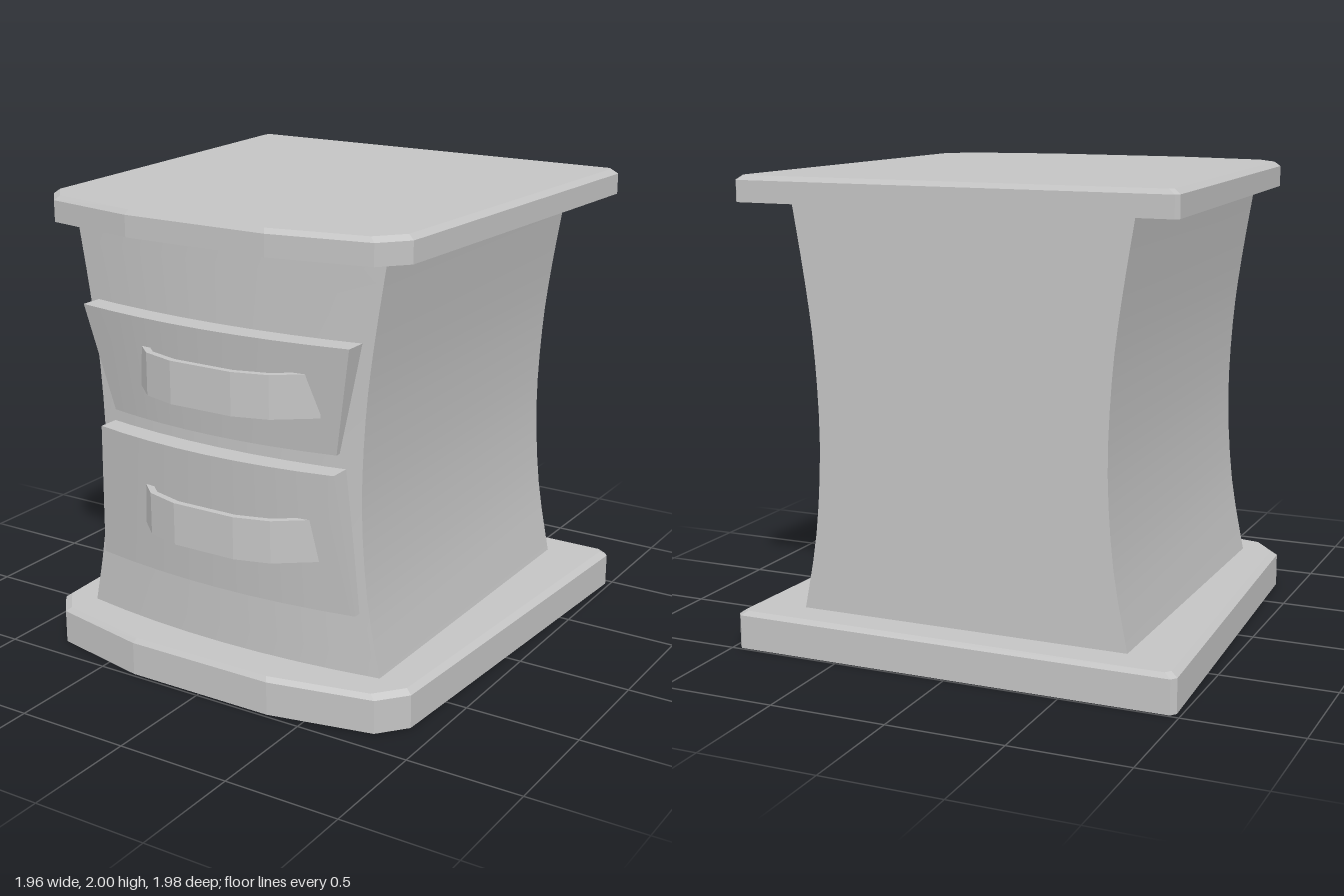
import * as THREE from 'three';
import { toCreasedNormals } from 'three/addons/utils/BufferGeometryUtils.js';

// Joins plan outlines (rings of [x, y, z], stacked upward) into a skin, with optional end caps.
function loft(rings, { bottom = true, top = true } = {}, crease = 0.3) {
  const pos = [];
  const tri = (a, b, c) => pos.push(...a, ...b, ...c);
  for (let r = 0; r < rings.length - 1; r++) {
    const lo = rings[r], hi = rings[r + 1], n = lo.length;
    for (let i = 0; i < n; i++) {
      const j = (i + 1) % n;
      tri(lo[i], hi[i], lo[j]);
      tri(lo[j], hi[i], hi[j]);
    }
  }
  const cap = (ring, up) => {
    const flat = ring.map(([x, , z]) => new THREE.Vector2(x, z));
    for (const [i, j, k] of THREE.ShapeUtils.triangulateShape(flat, [])) {
      const [a, b, c] = [ring[i], ring[j], ring[k]];
      const ny = (b[2] - a[2]) * (c[0] - a[0]) - (b[0] - a[0]) * (c[2] - a[2]);
      if ((ny > 0) === up) tri(a, b, c);
      else tri(a, c, b);
    }
  };
  if (bottom) cap(rings[0], false);
  if (top) cap(rings[rings.length - 1], true);
  const geo = new THREE.BufferGeometry();
  geo.setAttribute('position', new THREE.Float32BufferAttribute(pos, 3));
  return toCreasedNormals(geo, crease);
}

// Mirrors the +x half of an outline (back to front) into a closed one.
const mirror = (half) => [...half, ...half.map(([x, z]) => [-x, z]).reverse()];

// Outline with a straight back and sides and a gently bowed front.
function bowed(y, halfWidth, back, corner, bow) {
  const ring = [[halfWidth(y), y, back]];
  for (let i = 0; i <= 8; i++) {
    const t = 1 - i / 4;
    ring.push([t * halfWidth(y), y, corner + bow * (1 - t * t)]);
  }
  ring.push([-halfWidth(y), y, back]);
  return ring;
}

export function createModel() {
  const model = new THREE.Group();
  const grey = new THREE.MeshStandardMaterial({ color: 0xc4c4c4, side: THREE.DoubleSide });
  grey.name = 'grey';
  const add = (name, geo) => {
    const mesh = new THREE.Mesh(geo, grey);
    mesh.name = name;
    model.add(mesh);
  };

  // Base and top: hollow slabs with cut corners and a bevelled upper edge
  const slab = (half, y0, y1) => {
    const outline = mirror(half);
    const at = (y, sx, sz) => outline.map(([x, z]) => [x * sx, y, z * sz]);
    return loft([at(y0, 1, 1), at(y1 - 0.02, 1, 1), at(y1, 0.97, 0.985)], { bottom: false }, 0.1);
  };
  add('base', slab([[0.96, -0.99], [0.98, -0.965], [0.89, 0.77], [0.79, 0.89], [0.34, 0.985]], 0, 0.165));
  add('top', slab([[0.935, -0.95], [0.95, -0.93], [0.86, 0.755], [0.76, 0.87], [0.33, 0.95]], 1.89, 2));

  // Body: waisted cabinet with a bowed front
  const waist = new THREE.SplineCurve([
    [0.73, 0.165], [0.668, 0.5], [0.641, 0.88], [0.655, 1.25], [0.69, 1.55], [0.745, 1.89],
  ].map(([x, y]) => new THREE.Vector2(x, y)));
  const bodyRings = waist.getPoints(15).map((p) => bowed(p.y, () => p.x, -0.84, 0.745, 0.065));
  add('body', loft(bodyRings));

  // Drawers: wedge-shaped fronts leaning outward at the top
  const drawers = [
    { name: 'lower', y0: 0.43, y1: 1.035, w0: 0.637, w1: 0.575, grip: 0.65 },
    { name: 'upper', y0: 1.095, y1: 1.555, w0: 0.548, w1: 0.643, grip: 1.25 },
  ];
  // Grip outline: an arched band, outer face then inner face
  const outer = [[0.5, 0.825], [0.34, 0.945], [0.19, 0.988], [-0.1, 0.988], [-0.25, 0.945], [-0.38, 0.825]];
  const inner = [[-0.34, 0.825], [-0.235, 0.92], [-0.095, 0.96], [0.185, 0.96], [0.325, 0.92], [0.46, 0.825]];
  for (const d of drawers) {
    add(d.name + 'Drawer', loft([
      bowed(d.y0, () => d.w0, 0.745, 0.785, 0.06),
      bowed(d.y1, () => d.w1, 0.745, 0.85, 0.063),
    ]));
    const grip = (y) => [...outer, ...inner].map(([x, z]) => [x, y, z]);
    add(d.name + 'Handle', loft([grip(d.grip), grip(d.grip + 0.18)], {}, 0.1));
  }
  return model;
}
